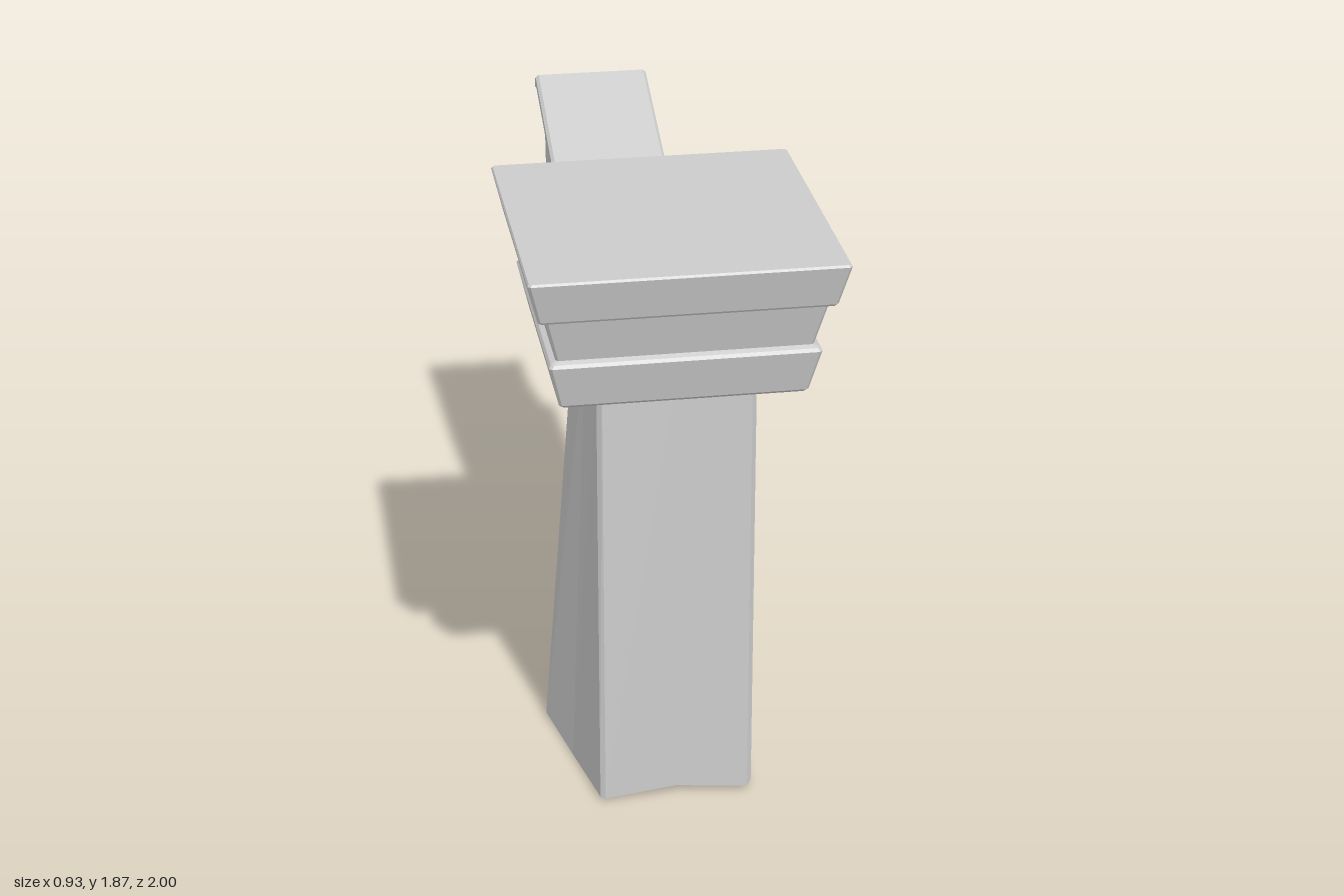
import * as THREE from 'three';

const material = new THREE.MeshStandardMaterial({ color: 0xcccccc, flatShading: true });

// Skin rings of [x, y, z] points (right-handed about the travel direction) and cap both ends
function loft(name, rings) {
  const pos = [];
  const tri = (a, b, c) => pos.push(...a, ...b, ...c);
  const n = rings[0].length;
  const centre = (r) => [0, 1, 2].map((k) => r.reduce((s, p) => s + p[k], 0) / n);
  for (let i = 0; i < rings.length - 1; i++) {
    for (let j = 0; j < n; j++) {
      const k = (j + 1) % n;
      const a = rings[i][j], b = rings[i][k], c = rings[i + 1][k], d = rings[i + 1][j];
      tri(a, b, c);
      tri(a, c, d);
    }
  }
  const first = rings[0], last = rings[rings.length - 1];
  const c0 = centre(first), c1 = centre(last);
  for (let j = 0; j < n; j++) {
    const k = (j + 1) % n;
    tri(c0, first[k], first[j]);
    tri(c1, last[j], last[k]);
  }
  const geo = new THREE.BufferGeometry();
  geo.setAttribute('position', new THREE.Float32BufferAttribute(pos, 3));
  geo.computeVertexNormals();
  const mesh = new THREE.Mesh(geo, material);
  mesh.name = name;
  return mesh;
}

// Square ring with clipped corners
function squareRing(y, h, cz, cut = 0.008) {
  const k = h - cut;
  return [[-k, h], [k, h], [h, k], [h, -k], [k, -h], [-k, -h], [-h, -k], [-h, k]]
    .map(([x, z]) => [x, y, cz + z]);
}

// Flared, stepped capital
function makeCapital() {
  const profile = [
    [1.43, 0.36], [1.438, 0.367], [1.57, 0.398], [1.58, 0.392], [1.587, 0.377],
    [1.724, 0.41], [1.727, 0.428], [1.734, 0.433], [1.858, 0.463], [1.865, 0.459],
  ];
  return loft('capital', profile.map(([y, h]) => squareRing(y, h, 0.537)));
}

// Shaft splayed towards the back, with a rough broken foot
function makeShaft() {
  const foot = [
    [-0.225, 0.01, 0.81], [0, 0.03, 0.8], [0.225, 0.015, 0.815],
    [0.24, 0.03, 0.8], [0.26, 0.012, 0.53], [0.28, 0.04, 0.29],
    [0.265, 0.04, 0.265], [-0.03, 0.025, 0.27], [-0.31, 0.005, 0.268],
    [-0.345, 0.012, 0.285], [-0.29, 0, 0.53], [-0.24, 0.012, 0.8],
  ];
  const head = [
    [-0.225, 0.78], [0, 0.78], [0.225, 0.78], [0.24, 0.765], [0.24, 0.535], [0.24, 0.305],
    [0.225, 0.295], [0, 0.295], [-0.225, 0.295], [-0.24, 0.305], [-0.24, 0.535], [-0.24, 0.765],
  ].map(([x, z]) => [x, 1.45, z]);
  return loft('shaft', [foot, head]);
}

// Raking arm with a recessed panel on each side, framed by bevelled rims
function makeArm() {
  // top z, top y, bottom z, bottom y, panel depth
  const stations = [
    [0.32, 1.365, 0.32, 0.838, 0],
    [0.272, 1.365, 0.272, 0.838, 0],
    [0.236, 1.365, 0.236, 0.838, 0.03],
    [-0.115, 1.365, -0.115, 0.838, 0.03],
    [-0.155, 1.378, -0.16, 0.852, 0.03],
    [-0.49, 1.58, -0.5, 1.062, 0.03],
    [-0.555, 1.612, -0.56, 1.092, 0.03],
    [-0.965, 1.775, -0.92, 1.237, 0.03],
    [-0.995, 1.762, -0.94, 1.243, 0.03],
  ];
  const w = 0.19, cx = -0.005;
  const rings = stations.map(([tz, ty, bz, by, depth]) => {
    const len = ty - by;
    const inner = depth ? 0.07 : 0.037;
    const side = [
      [w - 0.01, 0], [w, 0.01], [w, 0.037], [w - depth, inner],
      [w - depth, len - inner], [w, len - 0.037], [w, len - 0.01], [w - 0.01, len],
    ];
    const outline = [...side, ...side.slice().reverse().map(([x, d]) => [-x, d])];
    return outline.map(([x, d]) => {
      const t = d / len;
      return [cx + x, ty + (by - ty) * t, tz + (bz - tz) * t];
    });
  });
  return loft('arm', rings);
}

export function createModel() {
  const group = new THREE.Group();
  group.name = 'pillarWithArm';
  group.add(makeShaft(), makeCapital(), makeArm());
  return group;
}
